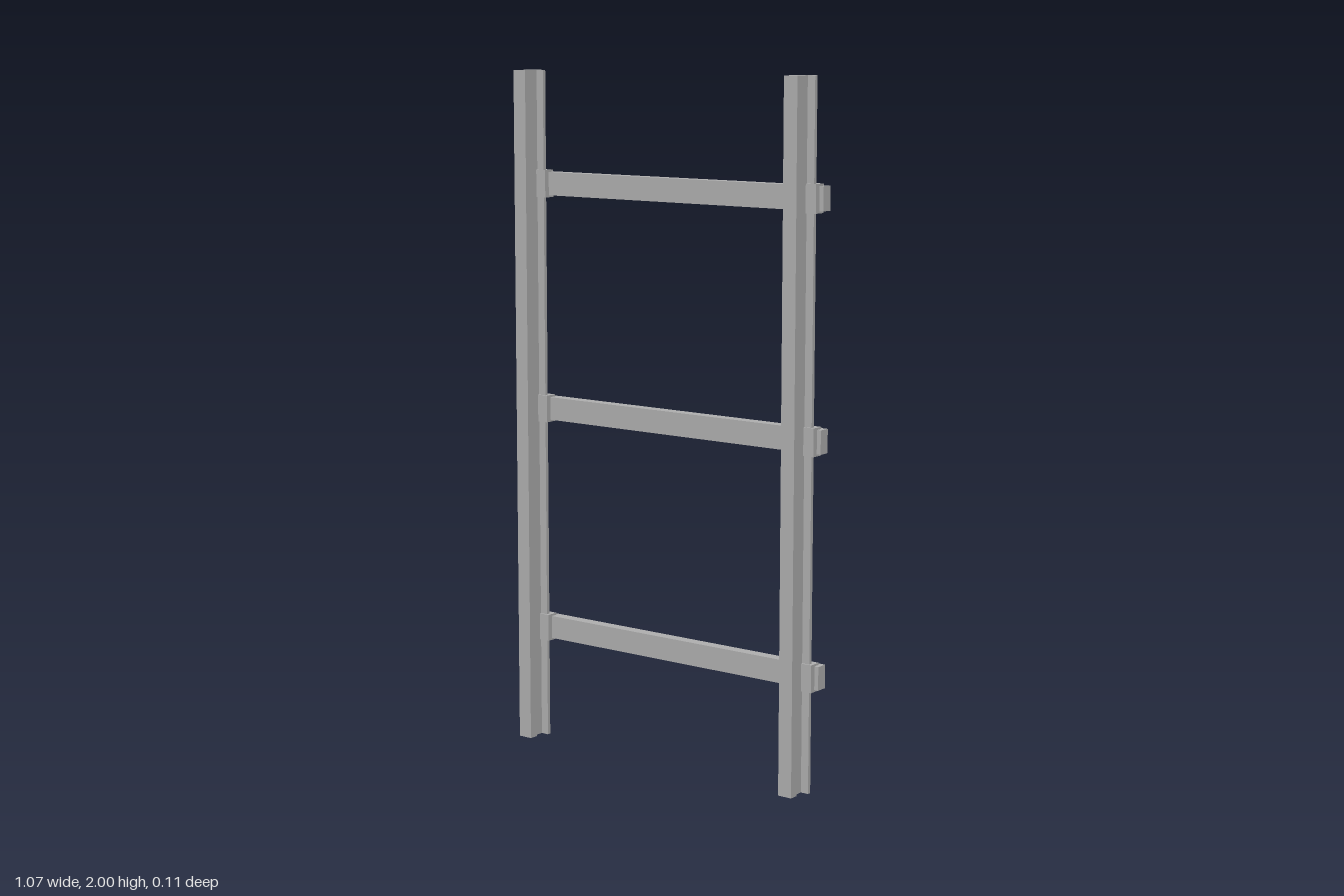
import * as THREE from 'three';

const RAIL_X = 0.477;

// Extrude a mirrored half-outline of [x, z] points upward, centred on y
function extrudeUp(half, height, y) {
  const pts = [...half, ...half.slice().reverse().map(([x, z]) => [-x, z])];
  const shape = new THREE.Shape(pts.map(([x, z]) => new THREE.Vector2(x, -z)));
  const geo = new THREE.ExtrudeGeometry(shape, { depth: height, bevelEnabled: false });
  geo.rotateX(-Math.PI / 2);
  geo.translate(0, y - height / 2, 0);
  return geo;
}

export function createModel() {
  const steel = new THREE.MeshStandardMaterial({ color: 0xb0b0b0 });
  steel.name = 'grey steel';
  const group = new THREE.Group();
  group.name = 'railTrack';

  const add = (name, geo, x = 0, y = 0, z = 0) => {
    const mesh = new THREE.Mesh(geo, steel);
    mesh.name = name;
    mesh.position.set(x, y, z);
    group.add(mesh);
  };

  // Rail section: wide foot, narrow web, square head
  const railGeo = extrudeUp([
    [0.037, -0.02], [0.037, -0.009], [0.013, -0.009], [0.013, 0.022],
    [0.022, 0.025], [0.022, 0.053],
  ], 2, 1);

  // Chair section: base plate with lips folded over the rail foot
  const chairGeo = extrudeUp([
    [0.047, -0.041], [0.047, -0.004], [0.013, -0.004], [0.013, -0.009],
    [0.037, -0.009], [0.037, -0.02],
  ], 0.08, 0);

  const tieGeo = new THREE.BoxGeometry(1.074, 0.068, 0.034);

  for (const side of [-1, 1]) {
    add(side < 0 ? 'rightRail' : 'leftRail', railGeo, side * RAIL_X);
  }

  // Cross ties, each with a chair under both rails
  for (const y of [0.335, 1.003, 1.67]) {
    add('crossTie', tieGeo, 0, y, -0.037);
    for (const side of [-1, 1]) add('railChair', chairGeo, side * RAIL_X, y);
  }
  return group;
}
